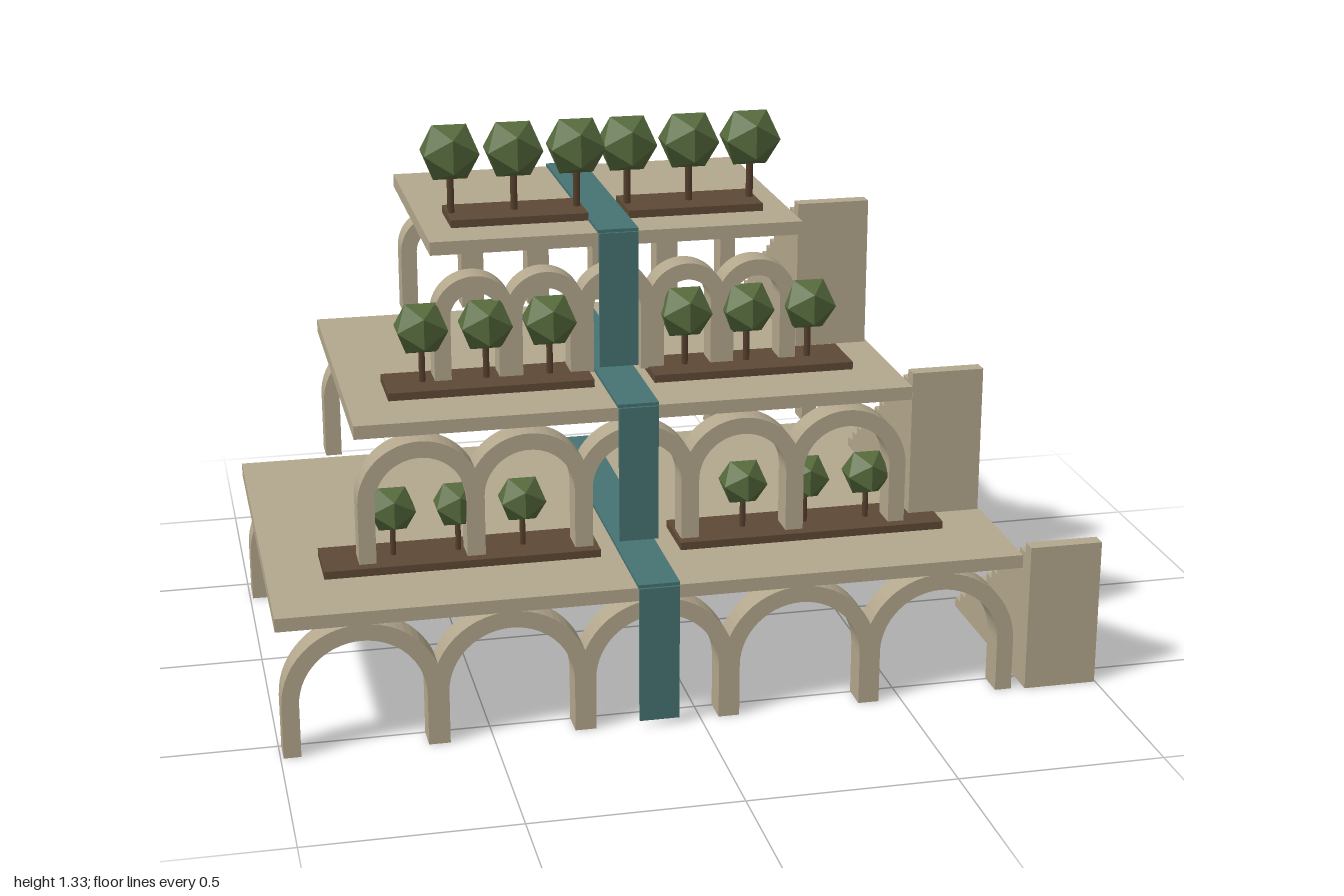
import * as THREE from 'three';

const mat = (name, color, opts = {}) => {
  const m = new THREE.MeshStandardMaterial({ color, ...opts });
  m.name = name;
  return m;
};

export function createModel() {
  const stone = mat('sandstone', 0xb3a78d);
  const water = mat('water', 0x467272);
  const soil = mat('soil', 0x5e4935);
  const bark = mat('bark', 0x553f2c);
  const leaf = mat('foliage', 0x566a3c, { flatShading: true });

  const root = new THREE.Group();
  root.name = 'terracedGarden';
  const CX = -0.102; // centre line of the terraces
  const STOREY = 0.369;

  const add = (parent, name, geometry, material, x = 0, y = 0, z = 0) => {
    const mesh = new THREE.Mesh(geometry, material);
    mesh.name = name;
    mesh.position.set(x, y, z);
    parent.add(mesh);
    return mesh;
  };
  // Box given by its min and max corners
  const box = (parent, name, material, x0, x1, y0, y1, z0, z1) =>
    add(parent, name, new THREE.BoxGeometry(x1 - x0, y1 - y0, z1 - z0), material,
      (x0 + x1) / 2, (y0 + y1) / 2, (z0 + z1) / 2);

  // Round arch standing on two legs, open below
  const archGeometry = (outer, inner, spring) => {
    const s = new THREE.Shape();
    s.moveTo(outer, 0);
    s.lineTo(outer, spring);
    s.absarc(0, spring, outer, 0, Math.PI, false);
    s.lineTo(-outer, 0);
    s.lineTo(-inner, 0);
    s.lineTo(-inner, spring);
    s.absarc(0, spring, inner, Math.PI, 0, true);
    s.lineTo(inner, 0);
    return new THREE.ExtrudeGeometry(s, { depth: 0.07, bevelEnabled: false, curveSegments: 14 });
  };

  // Solid stair, high at the front and stepping down to the back
  const STEPS = 14, RUN = 0.525, RISE = 0.37, STAIR_WIDTH = 0.181;
  const stairShape = new THREE.Shape();
  stairShape.moveTo(0, 0);
  for (let i = 0; i < STEPS; i++) {
    const h = RISE * (1 - i / STEPS);
    stairShape.lineTo(RUN * i / STEPS, h);
    stairShape.lineTo(RUN * (i + 1) / STEPS, h);
  }
  stairShape.lineTo(RUN, 0);
  const stairGeometry = new THREE.ExtrudeGeometry(stairShape, { depth: STAIR_WIDTH, bevelEnabled: false });
  stairGeometry.rotateY(Math.PI / 2); // profile runs towards -z, width towards +x

  const addTree = (parent, x, y, z, radius, height) => {
    const tree = new THREE.Group();
    tree.name = 'tree';
    tree.position.set(x, y, z);
    const r = radius * 0.115;
    add(tree, 'trunk', new THREE.CylinderGeometry(r, r, height, 6), bark, 0, height / 2, 0);
    add(tree, 'foliage', new THREE.IcosahedronGeometry(radius, 0), leaf, 0, height, 0);
    parent.add(tree);
  };

  const tiers = [
    { width: 1.796, back: -0.478, front: 0.574, pitch: 0.349, outer: 0.19, spring: 0.13, leaves: 0.063, tree: 0.118 },
    { width: 1.36, back: -0.53, front: 0.345, pitch: 0.262, outer: 0.15, spring: 0.153, leaves: 0.0725, tree: 0.136 },
    { width: 0.92, back: -0.583, front: 0.116, pitch: 0.176, outer: 0.1, spring: 0.162, leaves: 0.08, tree: 0.153 },
  ];

  tiers.forEach((t, level) => {
    const g = new THREE.Group();
    g.name = 'terrace' + (level + 1);
    g.position.set(CX, level * STOREY, 0);
    root.add(g);

    // Floor slab
    const top = 0.354;
    box(g, 'slab', stone, -t.width / 2, t.width / 2, 0.321, top, t.back, t.front);

    // Front and back arcades
    const arch = archGeometry(t.outer, t.outer - 0.041, t.spring);
    for (const [name, z] of [['frontArch', t.front - 0.077], ['backArch', t.back + 0.009]]) {
      for (let i = -2; i <= 2; i++) add(g, name, arch, stone, i * t.pitch - 0.003, 0, z);
    }

    // Stair beside the terrace
    const stairTop = [0.574, 0.293, 0.012][level];
    add(g, 'stair', stairGeometry, stone, 0.816 - level * 0.22 - CX, 0, stairTop);

    // Water channel across the slab and the fall down its front
    box(g, 'waterChannel', water, -0.052, 0.048, top, 0.362, t.back, t.front + 0.003);
    box(g, 'waterfall', water, -0.05, 0.046, 0.016, top, t.front, t.front + 0.009);

    // Planting beds with three trees on either side of the channel
    const bedZ = 0.288 - level * 0.185;
    for (const side of [-1, 1]) {
      const x = side * t.width * 0.24, half = t.width * 0.185;
      box(g, 'plantingBed', soil, x - half, x + half, top, 0.373, bedZ - 0.078, bedZ + 0.078);
      for (let i = -1; i <= 1; i++) addTree(g, x + i * 0.157 - 0.002, 0.372, bedZ, t.leaves, t.tree);
    }
  });

  return root;
}
